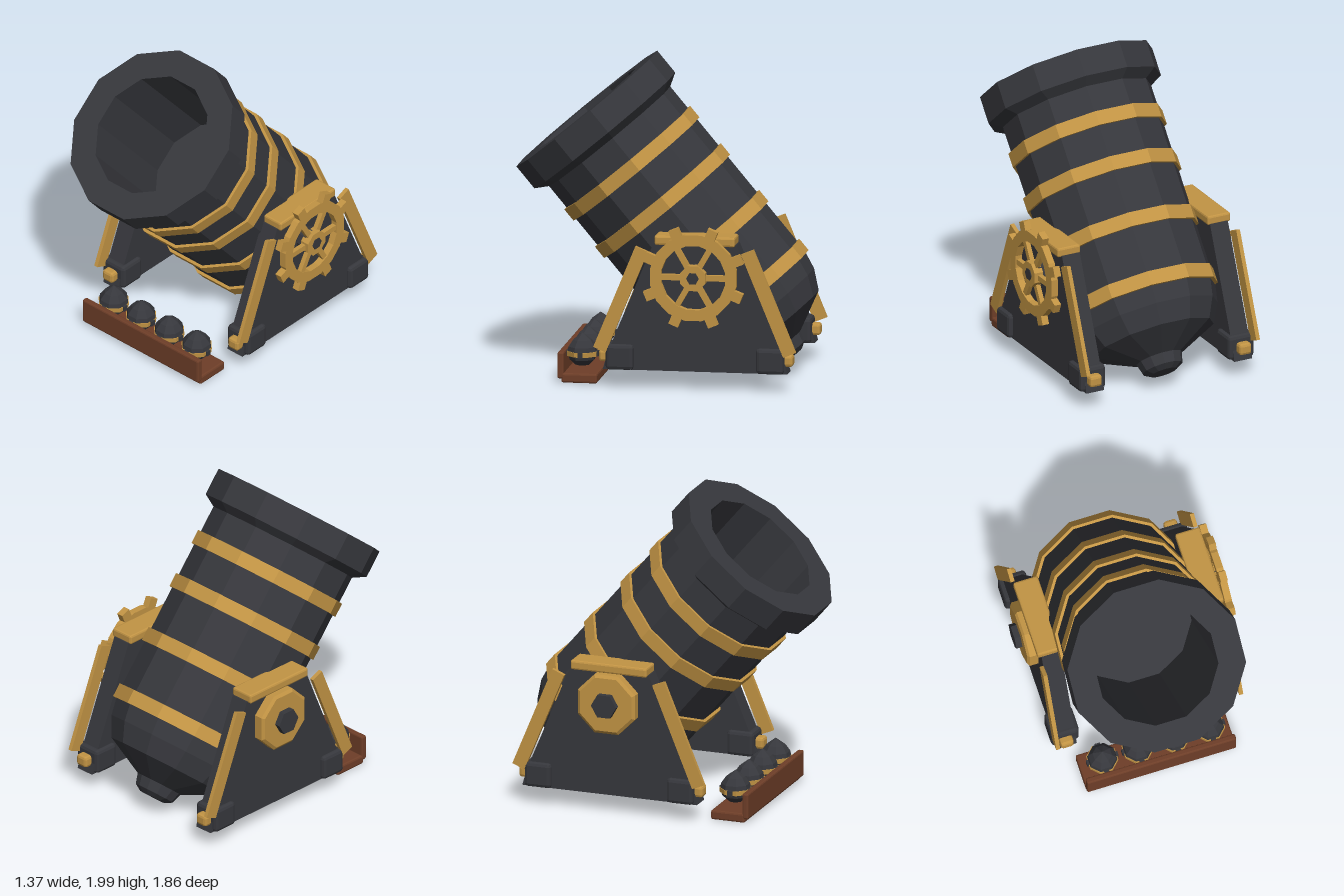
import * as THREE from 'three';
import { RoundedBoxGeometry } from 'three/addons/geometries/RoundedBoxGeometry.js';

const mat = (color, side = THREE.FrontSide) => new THREE.MeshStandardMaterial({ color, side, flatShading: true });
const IRON = mat(0x36373c), GOLD = mat(0xc29444), WOOD = mat(0x6e3e28);
const CY = 0.73, CZ = -0.265; // trunnion axis, also the middle of the carriage

function add(parent, name, geometry, material, x = 0, y = 0, z = 0) {
  const mesh = new THREE.Mesh(geometry, material);
  mesh.name = name;
  mesh.position.set(x, y, z);
  parent.add(mesh);
  return mesh;
}
const bevelBox = (w, h, d, r) => new RoundedBoxGeometry(w, h, d, 1, r);
const lathe = (pts, n) => new THREE.LatheGeometry(pts.map(p => new THREE.Vector2(...p)), n).rotateY(Math.PI / n);
// Extrusion of a (z, y) outline, centred on x = 0
const slab = (shape, w) => new THREE.ExtrudeGeometry(shape, { depth: w, bevelEnabled: false })
  .translate(0, 0, -w / 2).rotateY(-Math.PI / 2);
// Polygonal disc with its axis along x
const disc = (r, w, n, turn = 0) => new THREE.CylinderGeometry(r, r, w, n).rotateY(turn).rotateZ(Math.PI / 2);

function ngon(Type, r, n, turn) {
  const pts = [];
  for (let i = 0; i < n; i++) {
    const a = turn + i / n * Math.PI * 2;
    pts.push(new THREE.Vector2(Math.cos(a) * r, Math.sin(a) * r));
  }
  return new Type(pts);
}

function makeBarrel() {
  const g = new THREE.Group();
  g.name = 'barrel';
  // Local y runs along the bore, muzzle face at 0
  add(g, 'barrelBody', lathe([
    [0, -1.997], [0.085, -1.997], [0.13, -1.97], [0.15, -1.905], [0.395, -1.785], [0.46, -1.66],
    [0.486, -1.53], [0.486, -0.223], [0.565, -0.176], [0.565, 0], [0.39, 0], [0.39, -0.85], [0, -0.85],
  ], 12), IRON);
  for (const y of [-0.44, -0.74, -1.115, -1.507]) {
    add(g, 'barrelBand', lathe([
      [0.47, -0.045], [0.505, -0.045], [0.505, 0.045], [0.47, 0.045],
    ], 12), GOLD, 0, y, 0);
  }
  g.position.set(0, 1.651, 0.511);
  g.rotation.x = THREE.MathUtils.degToRad(40);
  return g;
}

function makeCheek(side) {
  const g = new THREE.Group();
  g.name = side > 0 ? 'leftCarriage' : 'rightCarriage';
  const outline = new THREE.Shape([[-0.58, 0.125], [0.58, 0.125], [0.545, 0.24], [0.26, 0.93], [-0.26, 0.93], [-0.545, 0.24]]
    .map(p => new THREE.Vector2(...p)));
  add(g, 'cheekPlate', slab(outline, 0.125), IRON, side * 0.52, 0, CZ);
  add(g, 'cheekCap', bevelBox(0.16, 0.06, 0.505, 0.012), GOLD, side * 0.527, 0.95, CZ);
  for (const end of [1, -1]) {
    const strut = add(g, 'cheekStrut', new THREE.BoxGeometry(0.026, 0.695, 0.085), GOLD, side * 0.595, 0.572, CZ + end * 0.464);
    strut.rotation.x = -end * Math.atan2(0.265, 0.643);
    add(g, 'cheekFoot', bevelBox(0.18, 0.16, 0.175, 0.022), IRON, side * 0.522, 0.205, CZ + end * 0.472);
    add(g, 'footBolt', bevelBox(0.085, 0.075, 0.09, 0.018), GOLD, side * 0.525, 0.205, CZ + end * 0.565);
  }
  return g;
}

function makeGear() {
  const g = new THREE.Group();
  g.name = 'elevatingGear';
  const ring = ngon(THREE.Shape, 0.275, 16, Math.PI / 16);
  ring.holes.push(ngon(THREE.Path, 0.205, 16, Math.PI / 16));
  add(g, 'gearRim', slab(ring, 0.045), GOLD);
  for (let i = 0; i < 8; i++) {
    const a = (i + 0.5) * Math.PI / 4;
    add(g, 'gearTooth', new THREE.BoxGeometry(0.045, 0.075, 0.065).translate(0, 0.29, 0).rotateX(a), GOLD);
  }
  for (let i = 0; i < 6; i++) {
    const a = Math.PI / 6 + i * Math.PI / 3;
    add(g, 'gearSpoke', new THREE.BoxGeometry(0.03, 0.17, 0.036).translate(0, 0.135, 0).rotateX(a), GOLD);
  }
  add(g, 'gearHub', disc(0.085, 0.06, 8, Math.PI / 8), GOLD, 0.008);
  add(g, 'gearNut', disc(0.04, 0.01, 6), IRON, 0.038);
  add(g, 'gearAxle', disc(0.08, 0.08, 8), IRON, -0.04);
  g.position.set(0.64, CY, CZ);
  return g;
}

function makeTrunnionCap() {
  const g = new THREE.Group();
  g.name = 'trunnionCap';
  add(g, 'capPlate', disc(0.205, 0.055, 8, Math.PI / 8), GOLD, -0.61);
  add(g, 'capRim', new THREE.CylinderGeometry(0.205, 0.185, 0.014, 8).rotateY(Math.PI / 8).rotateZ(-Math.PI / 2)
    .rotateY(Math.PI).rotateY(Math.PI), GOLD, -0.6445).rotation.y = 0;
  add(g, 'capNut', disc(0.083, 0.06, 6), IRON, -0.66);
  g.position.set(0, CY, CZ);
  return g;
}

function makeShellTray() {
  const g = new THREE.Group();
  g.name = 'shellTray';
  add(g, 'trayBase', bevelBox(0.97, 0.06, 0.225, 0.012), WOOD, 0, 0.04, 0.48);
  add(g, 'trayFront', bevelBox(0.97, 0.165, 0.04, 0.01), WOOD, 0, 0.118, 0.597);
  for (const x of [-0.345, -0.115, 0.12, 0.35]) {
    const shell = new THREE.Group();
    shell.name = 'shell';
    add(shell, 'shellBody', lathe([
      [0, -0.095], [0.045, -0.085], [0.082, -0.05], [0.096, -0.005], [0.09, 0.03], [0.06, 0.072], [0, 0.115],
    ], 8), IRON);
    add(shell, 'shellBand', lathe([[0.085, -0.028], [0.098, -0.028], [0.1, 0.002], [0.085, 0.002]], 8), GOLD);
    // Dark studs around the band
    for (let i = 0; i < 4; i++) {
      add(shell, 'shellStud', new THREE.BoxGeometry(0.032, 0.034, 0.02).translate(0, -0.013, 0.092).rotateY(i * Math.PI / 2), IRON);
    }
    shell.position.set(x, 0.19, 0.48);
    g.add(shell);
  }
  return g;
}

export function createModel() {
  const model = new THREE.Group();
  model.name = 'mortar';
  model.add(makeBarrel(), makeCheek(1), makeCheek(-1), makeGear(), makeTrunnionCap(), makeShellTray());
  // Rest on the ground
  const box = new THREE.Box3().setFromObject(model, true);
  for (const part of model.children) part.position.y -= box.min.y;
  return model;
}
